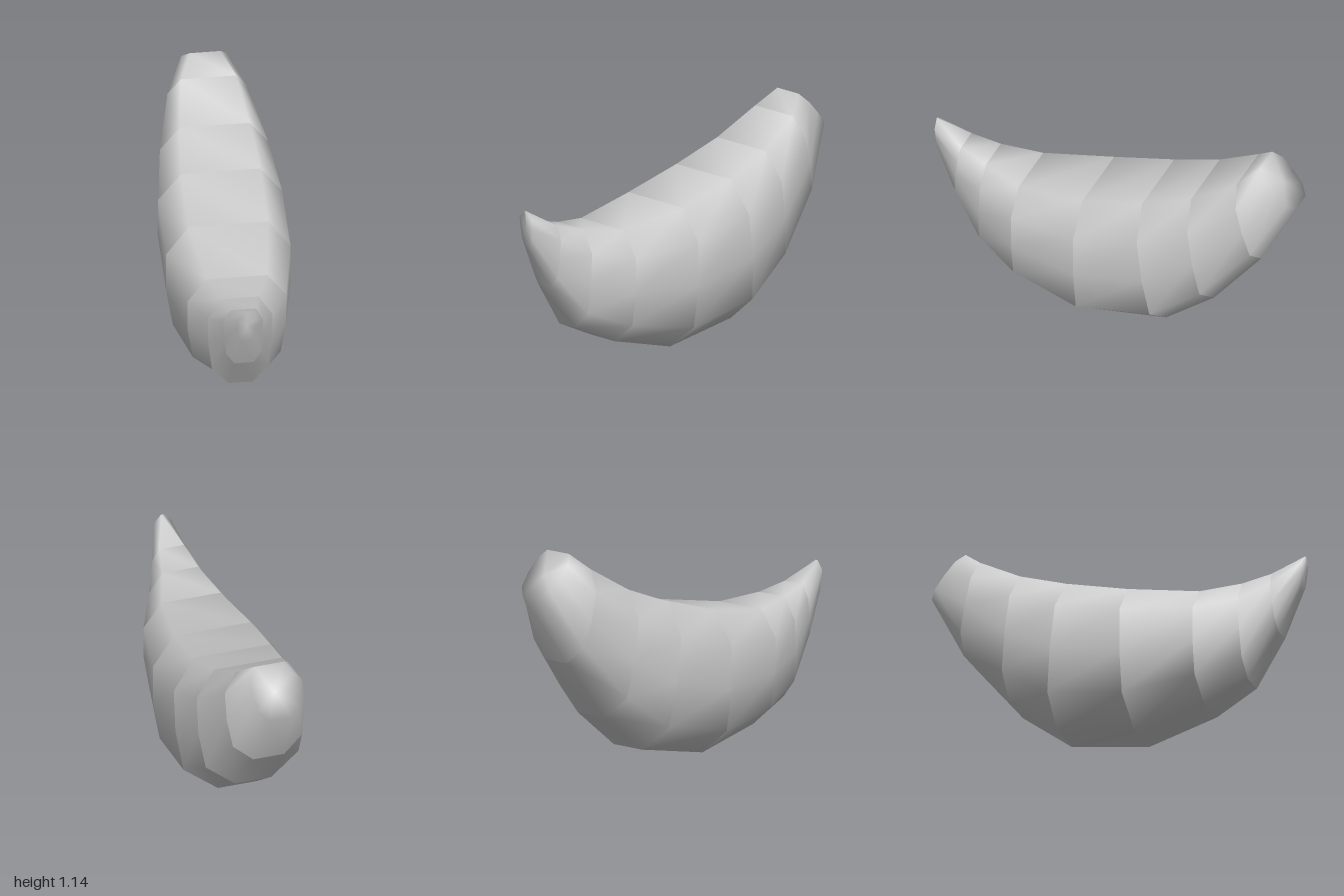
import * as THREE from 'three';

// Each ring: top z, top y, bottom z, bottom y, half width, top fraction, bottom fraction, x offset
const RINGS = [
  [1.0, 0.855, 0.98, 0.67, 0.045, 0.15, 0.5, -0.012],
  [0.84, 0.76, 0.87, 0.445, 0.1, 0.66, 0.48, -0.01],
  [0.69, 0.72, 0.71, 0.2, 0.163, 0.58, 0.38, -0.008],
  [0.48, 0.69, 0.48, 0.095, 0.25, 0.62, 0.36, 0],
  [0.11, 0.745, 0.11, 0, 0.316, 0.64, 0.33, 0],
  [-0.22, 0.83, -0.31, 0.07, 0.315, 0.64, 0.33, 0],
  [-0.48, 0.925, -0.57, 0.27, 0.275, 0.65, 0.35, 0],
  [-0.71, 1.055, -0.82, 0.58, 0.205, 0.68, 0.4, -0.005],
  [-0.81, 1.14, -1.0, 0.93, 0.115, 0.68, 0.52, -0.01],
];

// Ten-sided outline with flat top and bottom, counterclockwise from the front
function ringPoints([zt, yt, zb, yb, w, top, bottom, dx]) {
  const half = [[0, bottom], [0.18, 0.89], [0.48, 1], [0.78, 1], [1, top]];
  const point = (t, x) => new THREE.Vector3(dx + x * w, yb + (yt - yb) * t, zb + (zt - zb) * t);
  return [
    ...half.map(([t, x]) => point(t, x)),
    ...[...half].reverse().map(([t, x]) => point(t, -x)),
  ];
}

// Smooth band between two rings, optionally closed at its front or back
function bandGeometry(front, back, capFront, capBack) {
  const n = front.length;
  const points = [...front, ...back];
  const index = [];
  for (let i = 0; i < n; i++) {
    const j = (i + 1) % n;
    index.push(i, n + i, n + j, i, n + j, j);
  }
  const cap = (ring, offset, flip) => {
    const centre = new THREE.Vector3();
    ring.forEach((p) => centre.addScaledVector(p, 1 / n));
    const c = points.push(centre) - 1;
    for (let i = 0; i < n; i++) {
      const a = offset + i, b = offset + ((i + 1) % n);
      index.push(c, flip ? b : a, flip ? a : b);
    }
  };
  if (capFront) cap(front, 0, false);
  if (capBack) cap(back, n, true);
  const geometry = new THREE.BufferGeometry().setFromPoints(points);
  geometry.setIndex(index);
  geometry.computeVertexNormals();
  return geometry;
}

export function createModel() {
  const group = new THREE.Group();
  group.name = 'curvedBody';
  const material = new THREE.MeshStandardMaterial({ color: 0xcccccc });
  const rings = RINGS.map(ringPoints);
  const last = rings.length - 2;

  // Body segments from pointed tip to blunt end
  for (let i = 0; i <= last; i++) {
    const mesh = new THREE.Mesh(bandGeometry(rings[i], rings[i + 1], i === 0, i === last), material);
    mesh.name = i === 0 ? 'pointedTip' : i === last ? 'bluntEnd' : `bodySegment${i}`;
    group.add(mesh);
  }
  return group;
}
